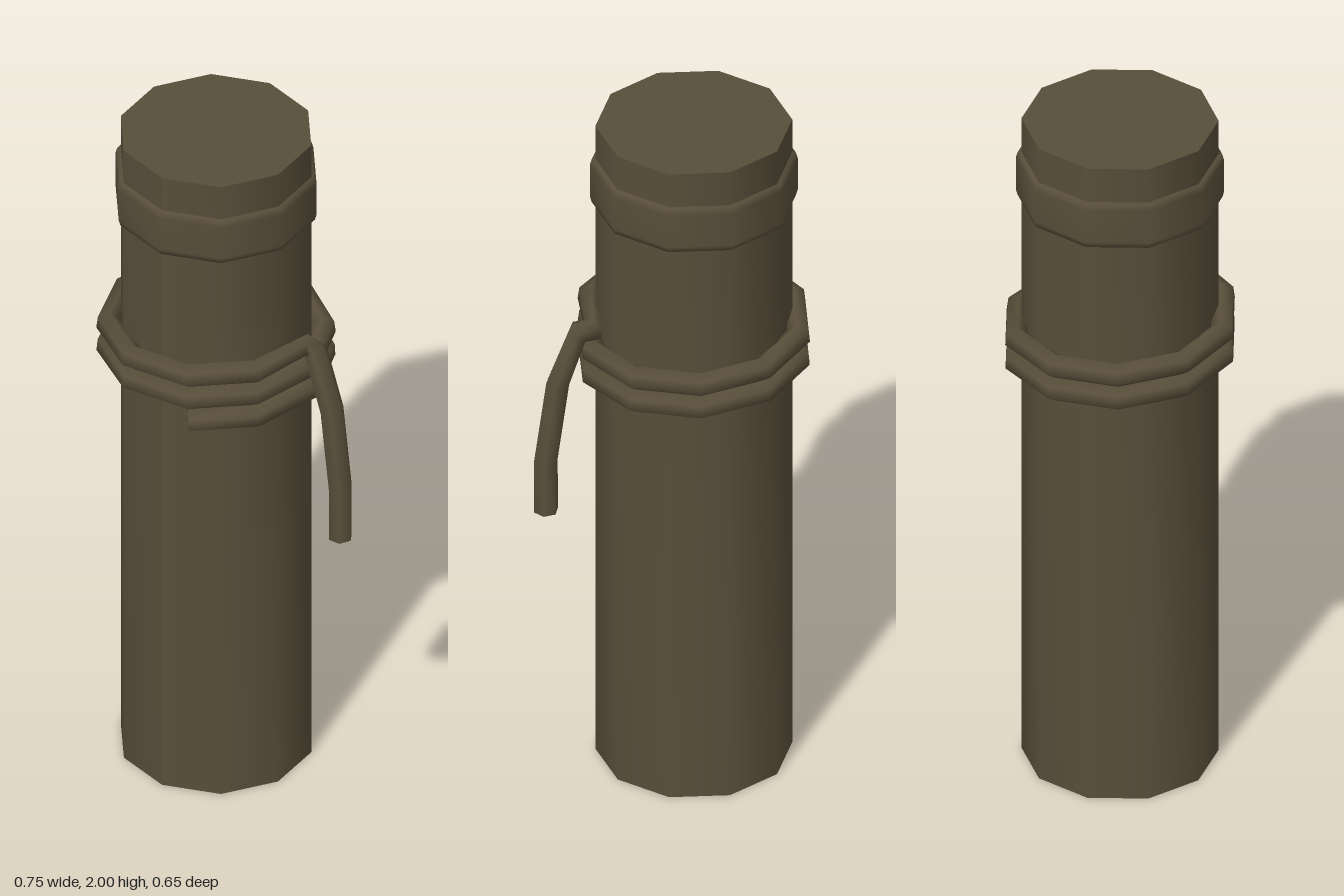
import * as THREE from 'three';

const CX = -0.066; // post axis
const SIDES = 10;

// Ten-sided lathe with its seam on a front corner
function lathe(points) {
  const g = new THREE.LatheGeometry(points.map(p => new THREE.Vector2(...p)), SIDES, Math.PI / SIDES);
  g.computeVertexNormals();
  return g;
}

// Hexagonal rope through a list of points, with closed ends
function rope(path, radius, sides = 6) {
  const pos = [], idx = [];
  const normal = new THREE.Vector3(0, 1, 0);
  const rings = path.map((p, i) => {
    const dir = new THREE.Vector3();
    if (i > 0) dir.add(p.clone().sub(path[i - 1]).normalize());
    if (i < path.length - 1) dir.add(path[i + 1].clone().sub(p).normalize());
    dir.normalize();
    normal.addScaledVector(dir, -normal.dot(dir)).normalize();
    const side = dir.clone().cross(normal);
    return Array.from({ length: sides }, (_, j) => {
      const a = j / sides * Math.PI * 2;
      return p.clone().addScaledVector(normal, Math.cos(a) * radius).addScaledVector(side, Math.sin(a) * radius);
    });
  });
  rings.forEach(r => r.forEach(v => pos.push(v.x, v.y, v.z)));
  for (let i = 0; i < rings.length - 1; i++) {
    for (let j = 0; j < sides; j++) {
      const a = i * sides + j, b = i * sides + (j + 1) % sides;
      idx.push(a, b, a + sides, b, b + sides, a + sides);
    }
  }
  // End caps on their own vertices, so the rims stay sharp
  [rings[0].slice().reverse(), rings[rings.length - 1]].forEach(ring => {
    const start = pos.length / 3;
    ring.forEach(v => pos.push(v.x, v.y, v.z));
    for (let j = 1; j < sides - 1; j++) idx.push(start, start + j, start + j + 1);
  });
  const g = new THREE.BufferGeometry();
  g.setAttribute('position', new THREE.Float32BufferAttribute(pos, 3));
  g.setIndex(idx);
  g.computeVertexNormals();
  return g;
}

export function createModel() {
  const model = new THREE.Group();
  model.name = 'ropedPost';
  const wood = new THREE.MeshStandardMaterial({ color: 0x584e3a, side: THREE.DoubleSide });
  wood.name = 'darkWood';
  const add = (name, geometry, x = 0, y = 0) => {
    const mesh = new THREE.Mesh(geometry, wood);
    mesh.name = name;
    mesh.position.set(x, y, 0);
    model.add(mesh);
    return mesh;
  };

  // Post: open at the foot, flat lid on top
  add('post', lathe([[0.266, 0], [0.266, 2]]), CX);
  const lid = add('postTop', new THREE.CircleGeometry(0.266, SIDES, Math.PI / SIDES * 2), CX, 2);
  lid.geometry.rotateX(-Math.PI / 2);

  // Collar with slightly bevelled edges
  add('collar', lathe([[0.264, 1.755], [0.276, 1.757], [0.281, 1.775], [0.281, 1.875], [0.276, 1.893], [0.264, 1.895]]), CX);

  // Rope: two and a bit rising turns, then a hanging tail
  const path = [];
  for (let i = 1; i <= 23; i++) {
    const a = i * Math.PI / 5;
    path.push(new THREE.Vector3(CX + Math.sin(a) * 0.292, 1.245 + (i - 1) * 0.0073, Math.cos(a) * 0.292));
  }
  [[0.25, 1.4, -0.092], [0.308, 1.24, -0.1], [0.34, 1.0, -0.103], [0.34, 0.838, -0.103]]
    .forEach(p => path.push(new THREE.Vector3(...p)));
  add('rope', rope(path, 0.034));

  return model;
}
